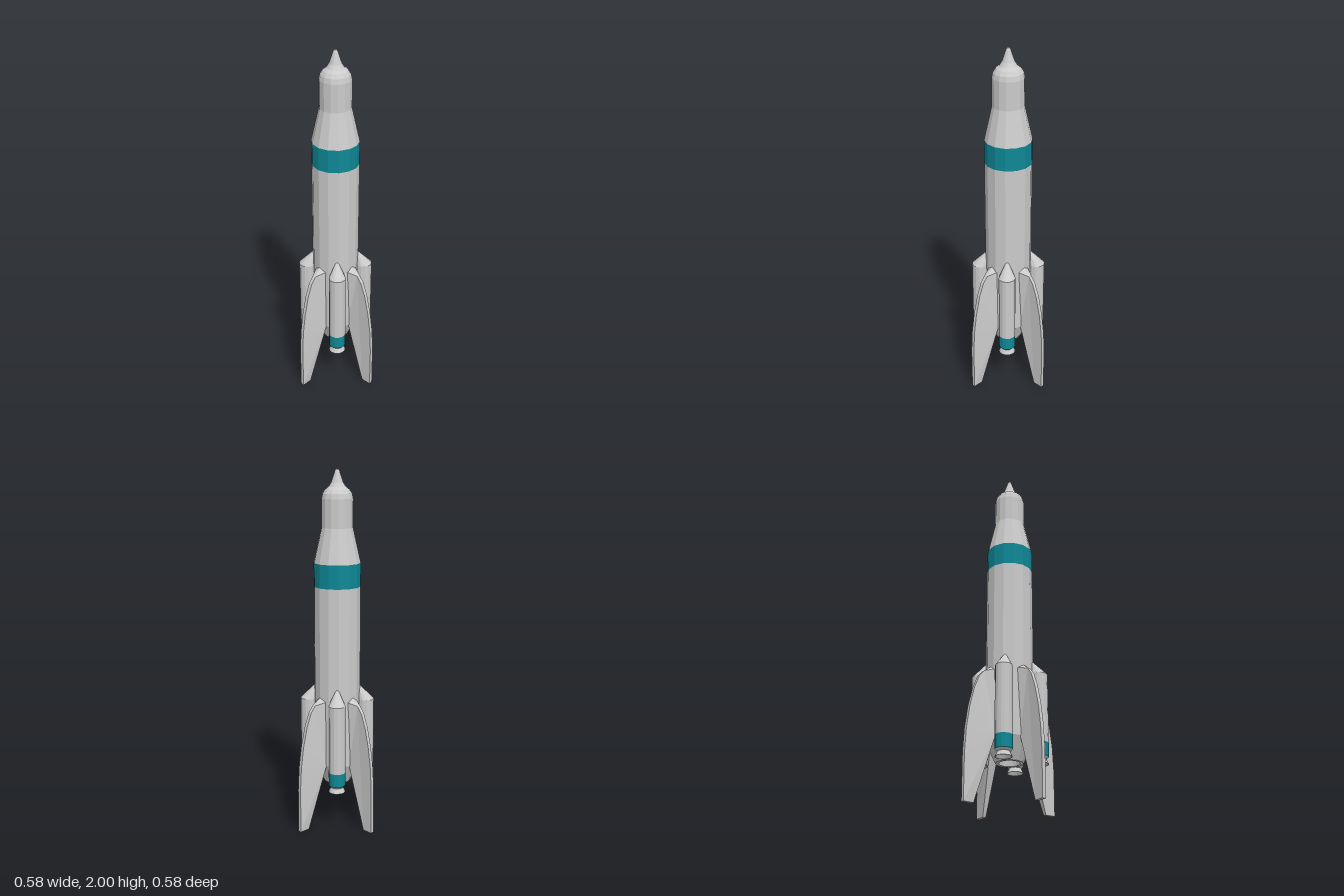
import * as THREE from 'three';

const SIDES = 14;
const grey = new THREE.MeshStandardMaterial({ color: 0xcccccc, flatShading: true });
const teal = new THREE.MeshStandardMaterial({ color: 0x0f8896, flatShading: true });

// Faceted solid of revolution; the profile runs from the bottom up
function turned(name, profile, material) {
  const points = profile.map(([r, y]) => new THREE.Vector2(r, y));
  const mesh = new THREE.Mesh(new THREE.LatheGeometry(points, SIDES), material);
  mesh.name = name;
  return mesh;
}

// Swept fin pointing along +x, thin at the rim and widening to its root
function finGeometry() {
  // x, y, half thickness on the +z side, half thickness on the -z side
  const outline = [
    [0.12, 0.36, 0.02, 0.04],
    [0.228, 0, 0.01, 0.01],
    [0.288, 0, 0.01, 0.01],
    [0.288, 0.25, 0.01, 0.01],
    [0.28, 0.38, 0.01, 0.01],
    [0.262, 0.5, 0.01, 0.01],
    [0.235, 0.61, 0.01, 0.01],
    [0.205, 0.685, 0.01, 0.01],
    [0.175, 0.72, 0.01, 0.01],
    [0.12, 0.735, 0.037, 0.037],
  ];
  const n = outline.length;
  const shoulder = n - 2, root = n - 1;
  const front = outline.map(([x, y, z]) => [x, y, z]);
  const back = outline.map(([x, y, , z]) => [x, y, -z]);
  const peak = [0.115, 0.765, 0];
  const pos = [];
  const tri = (a, b, c) => pos.push(...a, ...b, ...c);

  // Side faces: one fans from the shoulder, the other from the lower root
  for (let i = 1; i < n - 1; i++) {
    const a = (shoulder + i) % n, b = (shoulder + i + 1) % n;
    tri(front[shoulder], front[a], front[b]);
    tri(back[0], back[i + 1], back[i]);
  }
  // Rim
  for (let i = 0; i < shoulder; i++) {
    tri(front[i], back[i], back[i + 1]);
    tri(front[i], back[i + 1], front[i + 1]);
  }
  // Pointed roof over the root
  tri(peak, front[root], front[shoulder]);
  tri(peak, front[shoulder], back[shoulder]);
  tri(peak, back[shoulder], back[root]);

  const g = new THREE.BufferGeometry();
  g.setAttribute('position', new THREE.Float32BufferAttribute(pos, 3));
  g.computeVertexNormals();
  return g;
}

// Side booster whose nose leans towards the hull
function booster(sx, sz) {
  const g = new THREE.Group();
  g.name = 'booster';
  const r = 0.047, base = 0.73, height = 0.08, lean = 0.028;
  g.add(turned('boosterBody', [[r, 0.345], [r, base]], grey));
  g.add(turned('boosterBand', [[r, 0.27], [r, 0.345]], teal));
  g.add(turned('boosterNozzle',
    [[0, 0.255], [0.03, 0.255], [0.042, 0.23], [0.047, 0.23], [0.034, 0.257], [r, 0.27]], grey));

  const nose = turned('boosterNose', [[r, base], [0.006, base + height], [0, base + height]], grey);
  const p = nose.geometry.attributes.position;
  for (let i = 0; i < p.count; i++) {
    const t = (p.getY(i) - base) / height;
    p.setX(i, p.getX(i) - sx * lean * t);
    p.setZ(i, p.getZ(i) - sz * lean * t);
  }
  nose.geometry.computeVertexNormals();
  g.add(nose);
  g.position.set(sx * 0.117, 0, sz * 0.11);
  return g;
}

export function createModel() {
  const rocket = new THREE.Group();
  rocket.name = 'rocket';

  // Hull with hollow exhaust, coloured band and stepped nose
  rocket.add(turned('tail',
    [[0, 0.31], [0.048, 0.31], [0.057, 0.24], [0.075, 0.24], [0.13, 0.36]], grey));
  rocket.add(turned('hull', [[0.13, 0.36], [0.13, 1.37]], grey));
  rocket.add(turned('hullBand', [[0.13, 1.37], [0.13, 1.5]], teal));
  rocket.add(turned('upperStage', [[0.13, 1.5], [0.087, 1.69], [0.087, 1.845]], grey));
  rocket.add(turned('noseCone', [
    [0.087, 1.845], [0.081, 1.872], [0.067, 1.893], [0.048, 1.907],
    [0.034, 1.928], [0.022, 1.962], [0.013, 1.99], [0.008, 2], [0, 2],
  ], grey));

  // Four fins set in a cross
  const finShape = finGeometry();
  for (let i = 0; i < 4; i++) {
    const fin = new THREE.Mesh(finShape, grey);
    fin.name = 'fin';
    fin.rotation.y = i * Math.PI / 2;
    rocket.add(fin);
  }

  // Four boosters between the fins
  for (const sx of [-1, 1]) for (const sz of [-1, 1]) rocket.add(booster(sx, sz));

  return rocket;
}
